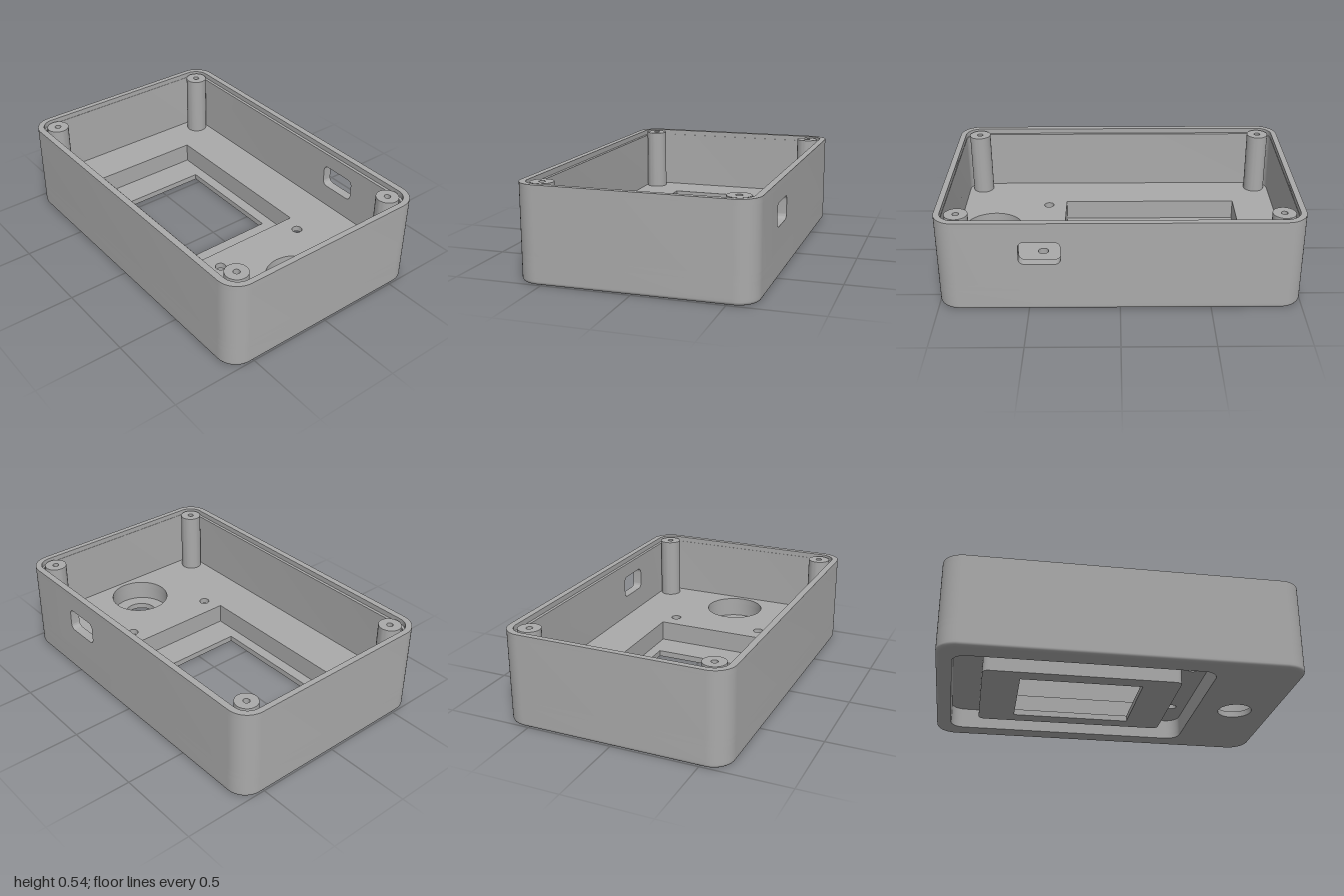
import * as THREE from 'three';
import { toCreasedNormals } from 'three/addons/utils/BufferGeometryUtils.js';

const HX = 0.65, HZ = 1, R = 0.12, H = 0.535;
const SKIN = 0.035, CEIL = 0.12, FLOOR = 0.155, LEDGE = 0.505;

// Rounded rectangle outline in (x, -z), starting and ending on the +x side
function rect(hx, z0, z1, r, start, end) {
  const mid = -(z0 + z1) / 2, pts = [];
  const corners = [[hx - r, -z0 - r], [-hx + r, -z0 - r], [-hx + r, -z1 + r], [hx - r, -z1 + r]];
  pts.push(new THREE.Vector2(hx, start ?? mid));
  corners.forEach(([cx, cy], i) => {
    const n = r > 0 ? 12 : 0;
    for (let k = 0; k <= n; k++) {
      const a = (i + (n ? k / n : 0)) * Math.PI / 2;
      pts.push(new THREE.Vector2(cx + r * Math.cos(a), cy + r * Math.sin(a)));
    }
  });
  if (end !== undefined) pts.push(new THREE.Vector2(hx, end));
  return pts;
}

function circle(x, z, r) {
  const pts = [];
  for (let i = 0; i < 40; i++) {
    const a = i / 40 * Math.PI * 2;
    pts.push(new THREE.Vector2(x + r * Math.cos(a), -z + r * Math.sin(a)));
  }
  return pts;
}

function extrude(outline, holes, depth) {
  const shape = new THREE.Shape(outline);
  holes.forEach(h => shape.holes.push(new THREE.Path(h)));
  return toCreasedNormals(new THREE.ExtrudeGeometry(shape, { depth, bevelEnabled: false }), 0.6);
}

// Flat layer between two heights
function layer(outline, holes, y0, y1) {
  return extrude(outline, holes, y1 - y0).rotateX(-Math.PI / 2).translate(0, y0, 0);
}

// Skin through stacked outlines, rounding the bottom edge
function bottomEdge(radius, top) {
  const rings = [];
  for (let i = 0; i <= 6; i++) {
    const a = i / 6 * Math.PI / 2;
    rings.push([radius * (1 - Math.sin(a)), radius * (1 - Math.cos(a))]);
  }
  rings.push([0, top]);
  const pos = [], idx = [];
  let n = 0;
  rings.forEach(([t, y]) => {
    const pts = rect(HX - t, -HZ + t, HZ - t, R - t);
    n = pts.length;
    pts.forEach(p => pos.push(p.x, y, -p.y));
  });
  for (let j = 0; j < rings.length - 1; j++) {
    for (let i = 0; i < n; i++) {
      const a = j * n + i, b = j * n + (i + 1) % n;
      idx.push(a, b, b + n, a, b + n, a + n);
    }
  }
  const g = new THREE.BufferGeometry();
  g.setAttribute('position', new THREE.Float32BufferAttribute(pos, 3));
  g.setIndex(idx);
  g.computeVertexNormals();
  return g;
}

export function createModel() {
  const group = new THREE.Group();
  const grey = new THREE.MeshStandardMaterial({ color: 0xaaaaaa });
  grey.name = 'grey plastic';
  const add = (name, geometry) => {
    const mesh = new THREE.Mesh(geometry, grey);
    mesh.name = name;
    group.add(mesh);
    return mesh;
  };

  const outer = rect(HX, -HZ, HZ, R);
  const recess = rect(0.525, -0.915, 0.525, 0.08);
  const boss = rect(0.36, -0.75, 0.36, 0.035);
  const pocket = rect(0.33, -0.72, 0.33, 0);
  const screen = rect(0.267, -0.54, 0.15, 0);
  const knobHole = circle(0, 0.76, 0.1);
  const knobSeat = circle(0, 0.76, 0.177);
  const pins = [-1, 1].map(s => circle(s * 0.285, 0.44, 0.03));

  // Base, with a recess underneath and a round seat above
  const inset = 0.02;
  const foot = rect(HX - inset, -HZ + inset, HZ - inset, R - inset);
  add('bottomPlate', layer(foot, [recess, knobHole], 0, SKIN));
  add('bottomRoundedEdge', bottomEdge(inset, SKIN));
  add('baseBody', layer(outer, [recess, knobSeat], SKIN, CEIL));
  add('innerFloor', layer(outer, [pocket, knobSeat, ...pins], CEIL, FLOOR));

  // Hollow screen frame standing in the recess
  add('screenFramePlate', layer(boss, [screen], 0, SKIN));
  add('screenFrameWall', layer(boss, [pocket], SKIN, CEIL));

  // Side walls, left open where the slotted panel sits
  const innerX = 0.595, innerZ = 0.965;
  const gapBack = 0.2, gapFront = 0.65;
  const wall = [
    ...rect(HX, -HZ, HZ, R, -gapBack, -gapFront),
    ...rect(innerX, -innerZ, innerZ, 0.08, -gapBack, -gapFront).reverse(),
  ];
  add('walls', layer(wall, [], FLOOR, LEDGE));

  // Wall panel with the cable slot, drawn in (-z, y)
  const panel = [[-gapFront, FLOOR], [-gapBack, FLOOR], [-gapBack, LEDGE], [-gapFront, LEDGE]]
    .map(p => new THREE.Vector2(...p));
  const slot = rect(0.113, -0.42, -0.287, 0.03).map(p => new THREE.Vector2(p.x - 0.433, p.y));
  add('slotPanel', extrude(panel, [slot], HX - innerX).rotateY(Math.PI / 2).translate(innerX, 0, 0));

  // Thinner rim above the inner ledge
  add('rim', layer(outer, [rect(0.613, -0.967, 0.967, 0.085)], LEDGE, H));

  // Screw posts in the corners
  for (const x of [-0.53, 0.53]) {
    for (const z of [-0.88, 0.88]) {
      add('screwPost', layer(circle(x, z, 0.064), [circle(x, z, 0.018)], FLOOR, H - 0.005));
    }
  }
  return group;
}
